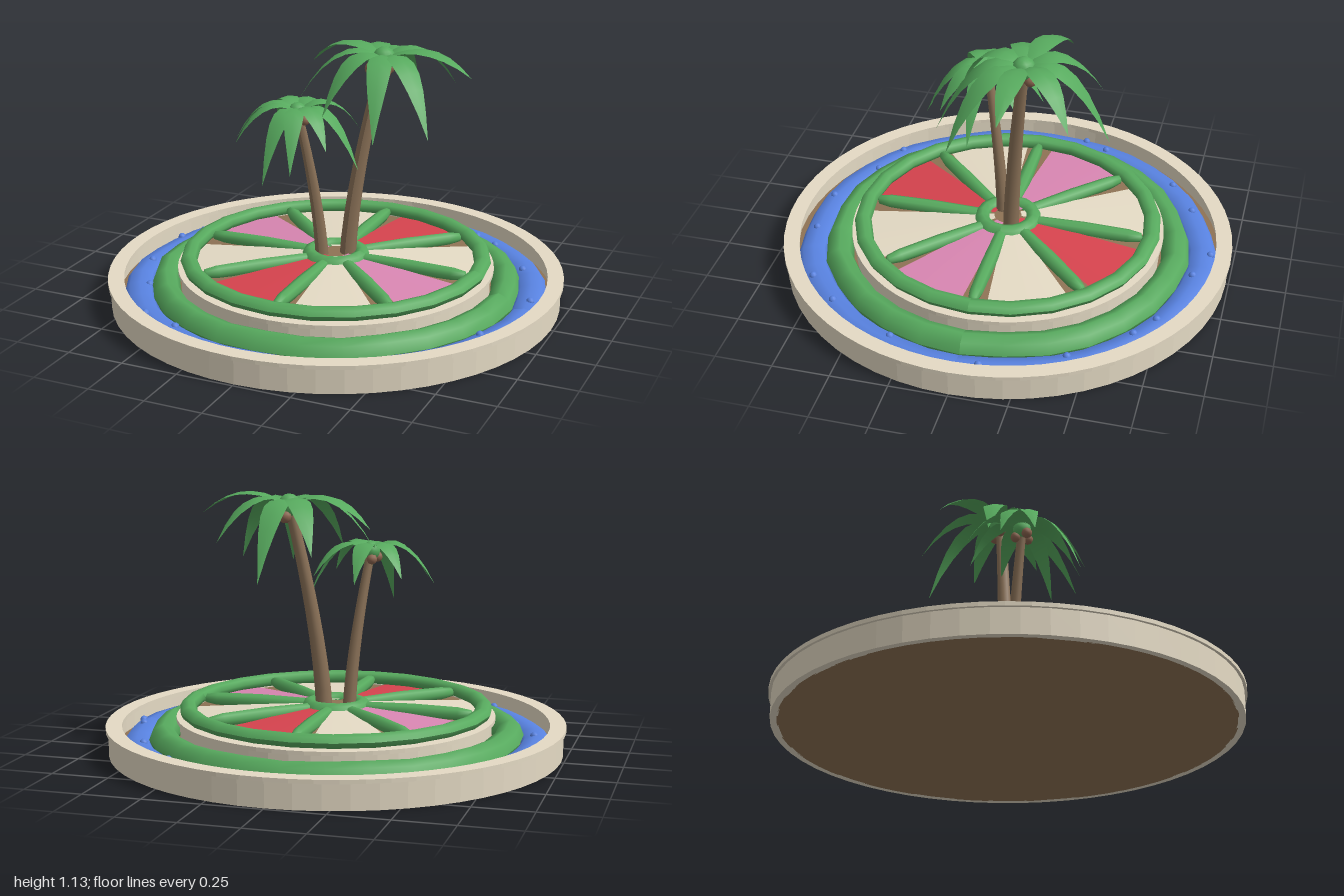
import * as THREE from 'three';

const mat = (name, color) => Object.assign(new THREE.MeshStandardMaterial({ color }), { name });

export function createModel() {
  const model = new THREE.Group();
  model.name = 'palmFlowerBed';

  const stone = mat('stone', 0xe4dac4);
  const leaf = mat('leaf', 0x57aa5e);
  leaf.side = THREE.DoubleSide; // the fronds are open blades
  const blue = mat('blueFlowers', 0x5882e0);
  const red = mat('redFlowers', 0xd6434e);
  const pink = mat('pinkFlowers', 0xd986b2);
  const soil = mat('soil', 0x8f7355);
  const bark = mat('bark', 0x8a7157);
  const nut = mat('coconut', 0x8c6650);

  const add = (parent, name, geometry, material, x = 0, y = 0, z = 0) => {
    const mesh = new THREE.Mesh(geometry, material);
    mesh.name = name;
    mesh.position.set(x, y, z);
    parent.add(mesh);
    return mesh;
  };

  // Small seeded random source
  let seed = 7;
  const rnd = () => ((seed = (seed * 16807) % 2147483647) / 2147483647);

  // Flat stone ring with square edges between two heights
  const ring = (name, rIn, rOut, y0, y1, seg) => {
    const shape = new THREE.Shape();
    shape.absarc(0, 0, rOut, 0, Math.PI * 2, false);
    const hole = new THREE.Path();
    hole.absarc(0, 0, rIn, 0, Math.PI * 2, true);
    shape.holes.push(hole);
    const g = new THREE.ExtrudeGeometry(shape, { depth: y1 - y0, bevelEnabled: false, curveSegments: seg });
    g.rotateX(-Math.PI / 2);
    add(model, name, g, stone, 0, y0, 0);
  };

  // Hedge: flattened torus with a wavering centre line
  const hedge = (name, R, halfW, halfH, y, seg, wobble, material) => {
    const g = new THREE.TorusGeometry(R, halfW, 8, seg);
    g.rotateX(Math.PI / 2);
    g.scale(1, halfH / halfW, 1);
    const p = g.attributes.position;
    for (let i = 0; i < p.count; i++) {
      const a = Math.atan2(p.getZ(i), p.getX(i));
      const k = 1 + wobble * (Math.sin(a * 7) + Math.sin(a * 11 + 1));
      p.setXYZ(i, p.getX(i) * k, p.getY(i) * (1 + 8 * wobble * Math.sin(a * 9)), p.getZ(i) * k);
    }
    g.computeVertexNormals();
    add(model, name, g, material, 0, y, 0);
  };

  // Basin and raised inner bed with a gently coned top
  add(model, 'basinSoil', new THREE.CylinderGeometry(0.96, 0.96, 0.03, 64), soil, 0, 0.015, 0);
  ring('outerWall', 0.955, 0.988, 0, 0.108, 28);
  ring('outerCoping', 0.93, 1, 0.108, 0.125, 32);
  ring('innerWall', 0.64, 0.68, 0.02, 0.14, 24);
  ring('innerCoping', 0.64, 0.695, 0.138, 0.155, 32);
  add(model, 'bedSoil', new THREE.CylinderGeometry(0.06, 0.65, 0.045, 48), soil, 0, 0.1725, 0);

  // Hedges
  hedge('blueHedge', 0.866, 0.066, 0.038, 0.041, 40, 0.004, blue);
  hedge('outerGreenHedge', 0.752, 0.061, 0.064, 0.066, 28, 0.004, leaf);
  hedge('innerGreenHedge', 0.646, 0.037, 0.03, 0.185, 24, 0, leaf);
  hedge('hubHedge', 0.115, 0.036, 0.036, 0.186, 16, 0, leaf);

  // Round blossoms scattered on the blue hedge
  const blossom = new THREE.SphereGeometry(0.018, 8, 6);
  for (let i = 0; i < 20; i++) {
    const a = (i + 0.7 * rnd()) / 20 * Math.PI * 2;
    const off = (rnd() - 0.5) * 0.1;
    const y = 0.036 + 0.038 * Math.sqrt(1 - (off / 0.066) ** 2);
    add(model, 'blueBlossom', blossom, blue, Math.cos(a) * (0.866 + off), y, Math.sin(a) * (0.866 + off));
  }

  // Eight sloping flower wedges divided by hedge spokes, clockwise from the back
  const wedgeColours = [red, stone, pink, stone];
  const gap = 0.095;
  const wedge = new THREE.CylinderGeometry(0.06, 0.64, 0.045, 8, 1, true, Math.PI * 0.75 + gap, Math.PI / 4 - 2 * gap);
  const spokeProfile = [[0, -0.265], [0.02, -0.255], [0.029, -0.2], [0.033, 0], [0.029, 0.2], [0.02, 0.255], [0, 0.265]];
  const spoke = new THREE.LatheGeometry(spokeProfile.map(([r, y]) => new THREE.Vector2(r, y)), 8);
  spoke.rotateX(Math.PI / 2);
  for (let i = 0; i < 8; i++) {
    const a = i * Math.PI / 4;
    add(model, 'flowerWedge', wedge, wedgeColours[i % 4], 0, 0.179, 0).rotation.y = -a;
    add(model, 'spokeHedge', spoke, leaf, Math.sin(a) * 0.345, 0.184, -Math.cos(a) * 0.345).rotation.y = -a;
  }

  // Arching frond along +x: a softly ridged blade that rises, then falls by "drop"
  const frondGeometry = (length, width, rise, drop) => {
    const n = 7, pos = [], idx = [];
    for (let i = 0; i <= n; i++) {
      const t = i / n;
      const w = width * (0.2 * (1 - t) + 0.88 * Math.sin(Math.PI * t ** 0.9));
      const x = length * t;
      const y = rise * 4 * t * (1 - t) - drop * t ** 2.2;
      pos.push(x, y - w * 0.2, -w, x, y, 0, x, y - w * 0.2, w);
      if (i < n) {
        for (const c of [i * 3, i * 3 + 1]) idx.push(c, c + 1, c + 3, c + 1, c + 4, c + 3);
      }
    }
    const g = new THREE.BufferGeometry();
    g.setAttribute('position', new THREE.Float32BufferAttribute(pos, 3));
    g.setIndex(idx);
    g.computeVertexNormals();
    return g;
  };

  // Palm: leaning trunk, crown ball, coconuts and fronds [degrees, length, drop]
  const palm = (name, base, top, r, size, rise, fronds, nuts) => {
    const group = new THREE.Group();
    group.name = name;
    const h = top[1] - 0.15;
    const g = new THREE.CylinderGeometry(r * 0.62, r, h, 10, 8);
    g.translate(0, h / 2, 0);
    const p = g.attributes.position;
    for (let i = 0; i < p.count; i++) {
      const k = Math.max(0, p.getY(i) / h) ** 1.5;
      p.setX(i, p.getX(i) + base[0] + (top[0] - base[0]) * k);
      p.setZ(i, p.getZ(i) + base[1] + (top[2] - base[1]) * k);
    }
    g.computeVertexNormals();
    add(group, 'trunk', g, bark, 0, 0.15, 0);
    add(group, 'crown', new THREE.SphereGeometry(size, 12, 8), leaf, ...top);
    for (const [dx, dy, dz] of nuts) {
      add(group, 'coconut', new THREE.SphereGeometry(size * 0.58, 10, 8), nut, top[0] + dx, top[1] + dy, top[2] + dz);
    }
    for (const [deg, length, drop] of fronds) {
      const f = add(group, 'frond', frondGeometry(length, size * 1.05, rise, drop), leaf, ...top);
      f.rotation.y = -deg * Math.PI / 180;
    }
    model.add(group);
  };

  palm('tallPalm', [0.045, -0.025], [0.175, 1.07, -0.11], 0.037, 0.05, 0.065, [
    [-87, 0.37, 0.29], [-45, 0.34, 0.14], [2, 0.4, 0.045], [40, 0.39, 0.26], [75, 0.36, 0.28],
    [117, 0.34, 0.2], [165, 0.37, 0.2], [198, 0.41, 0.08], [238, 0.36, 0.18],
  ], [[-0.05, -0.045, 0.02], [0.01, -0.045, -0.03], [0.015, -0.05, 0.025]]);

  palm('shortPalm', [-0.05, 0.035], [-0.125, 0.86, 0.12], 0.03, 0.04, 0.06, [
    [-88, 0.25, 0.12], [-42, 0.28, 0.1], [4, 0.29, 0.22], [38, 0.26, 0.11], [72, 0.27, 0.2],
    [97, 0.28, 0.25], [146, 0.27, 0.13], [176, 0.28, 0.14], [224, 0.25, 0.1],
  ], [[0.038, -0.03, 0.01], [-0.02, -0.03, 0.03], [-0.01, -0.035, -0.025]]);

  return model;
}
